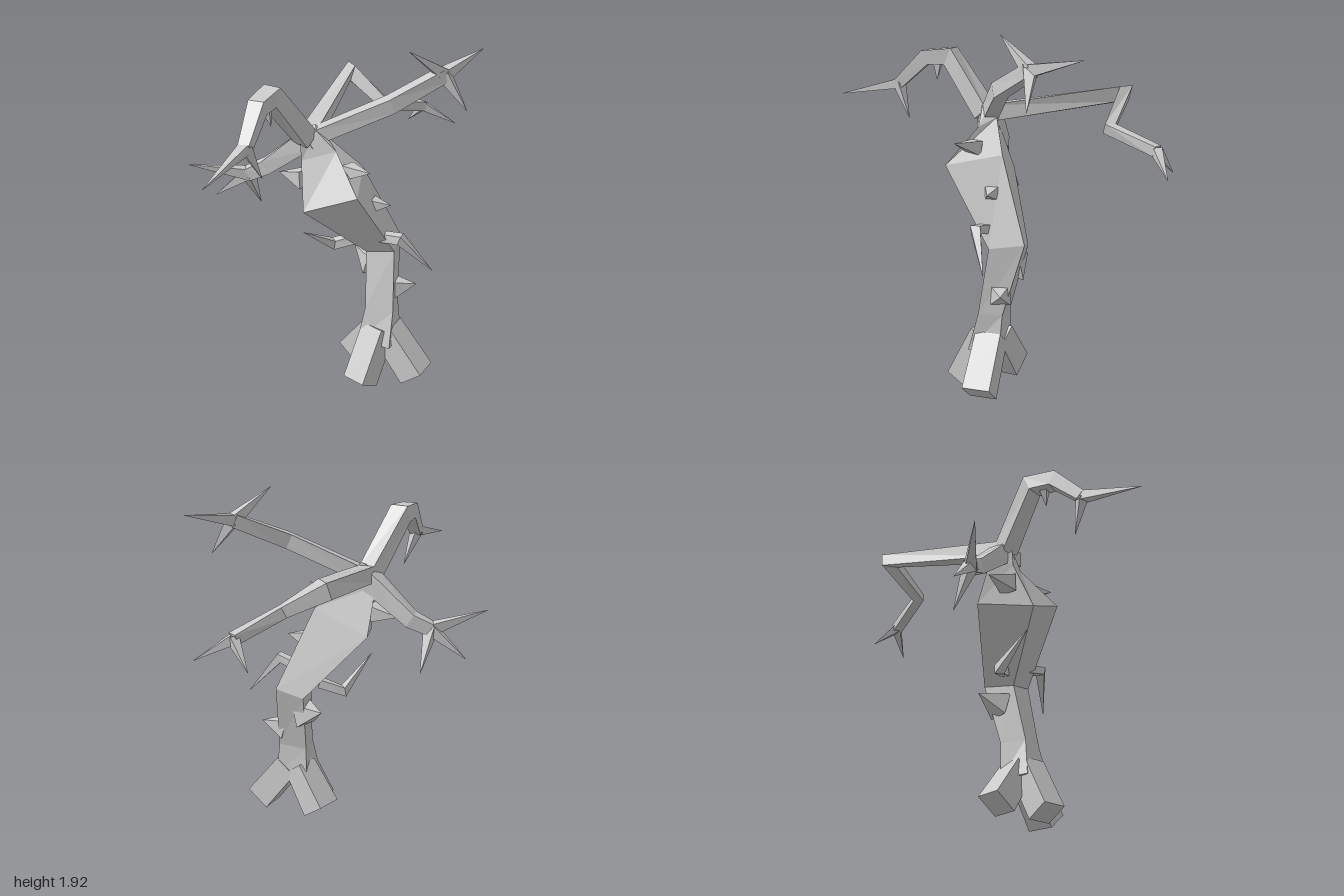
import * as THREE from 'three';

const bark = new THREE.MeshStandardMaterial({ color: 0xcccccc, flatShading: true });
bark.name = 'grey bark';

const V = (p) => new THREE.Vector3(p[0], p[1], p[2]);

// Skin a list of four-cornered rings, closed at both ends
function loft(name, rings) {
  const pos = [];
  const tri = (a, b, c) => [a, b, c].forEach((p) => pos.push(p.x, p.y, p.z));
  const quad = (a, b, c, d) => { tri(a, b, c); tri(a, c, d); };
  for (let k = 0; k < rings.length - 1; k++) {
    const a = rings[k], b = rings[k + 1];
    for (let i = 0; i < 4; i++) {
      const j = (i + 1) % 4;
      quad(a[i], a[j], b[j], b[i]);
    }
  }
  const s = rings[0], e = rings[rings.length - 1];
  quad(s[3], s[2], s[1], s[0]);
  quad(e[0], e[1], e[2], e[3]);
  const geo = new THREE.BufferGeometry();
  geo.setAttribute('position', new THREE.Float32BufferAttribute(pos, 3));
  geo.computeVertexNormals();
  const mesh = new THREE.Mesh(geo, bark);
  mesh.name = name;
  return mesh;
}

// Square limb along points [x, y, z, half width]
function limb(name, path, ref = [0, 1, 0]) {
  const pts = path.map(V);
  const rings = pts.map((p, i) => {
    const t = new THREE.Vector3();
    if (i > 0) t.add(p.clone().sub(pts[i - 1]).normalize());
    if (i < pts.length - 1) t.add(pts[i + 1].clone().sub(p).normalize());
    t.normalize();
    const side = t.clone().cross(V(ref)).normalize();
    const up = side.clone().cross(t);
    const r = path[i][3];
    return [[1, 1], [1, -1], [-1, -1], [-1, 1]].map(([a, b]) =>
      p.clone().addScaledVector(side, a * r).addScaledVector(up, b * r));
  });
  return loft(name, rings);
}

export function createModel() {
  const tree = new THREE.Group();
  tree.name = 'deadTree';

  // Leaning trunk: front, right, back and left corner of each ring
  tree.add(loft('trunk', [
    [[0.18, 0.25, 0.0], [0.37, 0.25, -0.06], [0.31, 0.25, -0.22], [0.12, 0.25, -0.16]],
    [[0.2, 0.455, -0.04], [0.345, 0.455, -0.11], [0.28, 0.45, -0.22], [0.12, 0.45, -0.16]],
    [[0.155, 0.775, -0.085], [0.305, 0.81, -0.15], [0.2, 0.83, -0.305], [0.06, 0.79, -0.23]],
    [[0.035, 1.09, 0.267], [0.305, 1.22, 0.135], [0.11, 1.27, -0.095], [-0.17, 1.14, 0.03]],
    [[-0.05, 1.34, 0.2], [0.09, 1.4, 0.08], [-0.02, 1.44, 0.04], [-0.14, 1.4, 0.12]],
    [[-0.06, 1.47, 0.2], [-0.01, 1.5, 0.13], [-0.05, 1.52, 0.1], [-0.11, 1.48, 0.15]],
  ].map((r) => r.map(V))));

  // Three roots
  [
    [[0.25, 0.32, -0.1, 0.07], [0.262, 0.035, 0.055, 0.07]],
    [[0.27, 0.31, -0.14, 0.07], [0.455, 0.065, -0.2, 0.075]],
    [[0.21, 0.31, -0.13, 0.065], [0.055, 0.088, -0.11, 0.075]],
  ].forEach((p) => tree.add(limb('root', p)));

  // Branches, each ending in a fan of pointed twigs
  const branches = {
    frontBranch: {
      path: [[-0.065, 1.45, 0.15, 0.05], [-0.06, 1.745, 0.39, 0.05],
        [0.0, 1.735, 0.52, 0.042], [0.07, 1.585, 0.66, 0.03]],
      twigs: [[0.178, 1.51, 1.0], [0.085, 1.4, 0.575]],
    },
    lowBranch: {
      path: [[-0.06, 1.45, 0.12, 0.055], [-0.31, 1.235, 0.22, 0.04], [-0.39, 1.185, 0.29, 0.035]],
      twigs: [[-0.55, 1.265, 0.565], [-0.555, 1.03, 0.39], [-0.42, 0.965, 0.18]],
    },
    highBranch: {
      path: [[-0.04, 1.46, 0.1, 0.04], [0.23, 1.635, -0.17, 0.04], [0.35, 1.765, -0.44, 0.035]],
      twigs: [[0.3, 1.92, -0.225], [0.35, 1.835, -0.745], [0.465, 1.58, -0.5]],
    },
    backBranch: {
      path: [[-0.07, 1.455, 0.12, 0.045], [-0.43, 1.57, -0.51, 0.045],
        [-0.19, 1.42, -0.565, 0.03], [-0.165, 1.34, -0.86, 0.027]],
      twigs: [[-0.03, 1.23, -1.0], [-0.3, 1.21, -0.885]],
    },
  };
  for (const [name, { path, twigs }] of Object.entries(branches)) {
    const group = new THREE.Group();
    group.name = name;
    group.add(limb('bough', path));
    const [x, y, z, r] = path[path.length - 1];
    twigs.forEach((t) => group.add(limb('twig', [[x, y, z, r * 0.9], [...t, 0.001]])));
    tree.add(group);
  }

  // Short thorns: base, then tip
  [
    [[-0.06, 1.23, 0.17, 0.05], [-0.22, 1.225, 0.21, 0.001]],
    [[0.15, 1.3, 0.05, 0.04], [0.32, 1.345, 0.06, 0.001]],
    [[0.2, 1.08, -0.09, 0.035], [0.29, 1.09, -0.13, 0.001]],
    [[0.13, 0.67, -0.17, 0.065], [-0.02, 0.715, -0.17, 0.001]],
    [[0.26, 0.555, -0.19, 0.055], [0.365, 0.585, -0.27, 0.001]],
    [[-0.02, 1.72, 0.45, 0.025], [0.0, 1.615, 0.44, 0.001]],
  ].forEach((p) => tree.add(limb('thorn', p)));

  // Bent side twigs
  tree.add(limb('rightTwig', [[0.25, 0.9, -0.1, 0.025], [0.375, 0.925, -0.12, 0.026], [0.49, 0.73, -0.255, 0.001]]));
  tree.add(limb('leftTwig', [[0.09, 0.84, -0.08, 0.025], [-0.01, 0.795, 0.01, 0.026], [0.01, 0.955, 0.245, 0.001]]));

  return tree;
}
